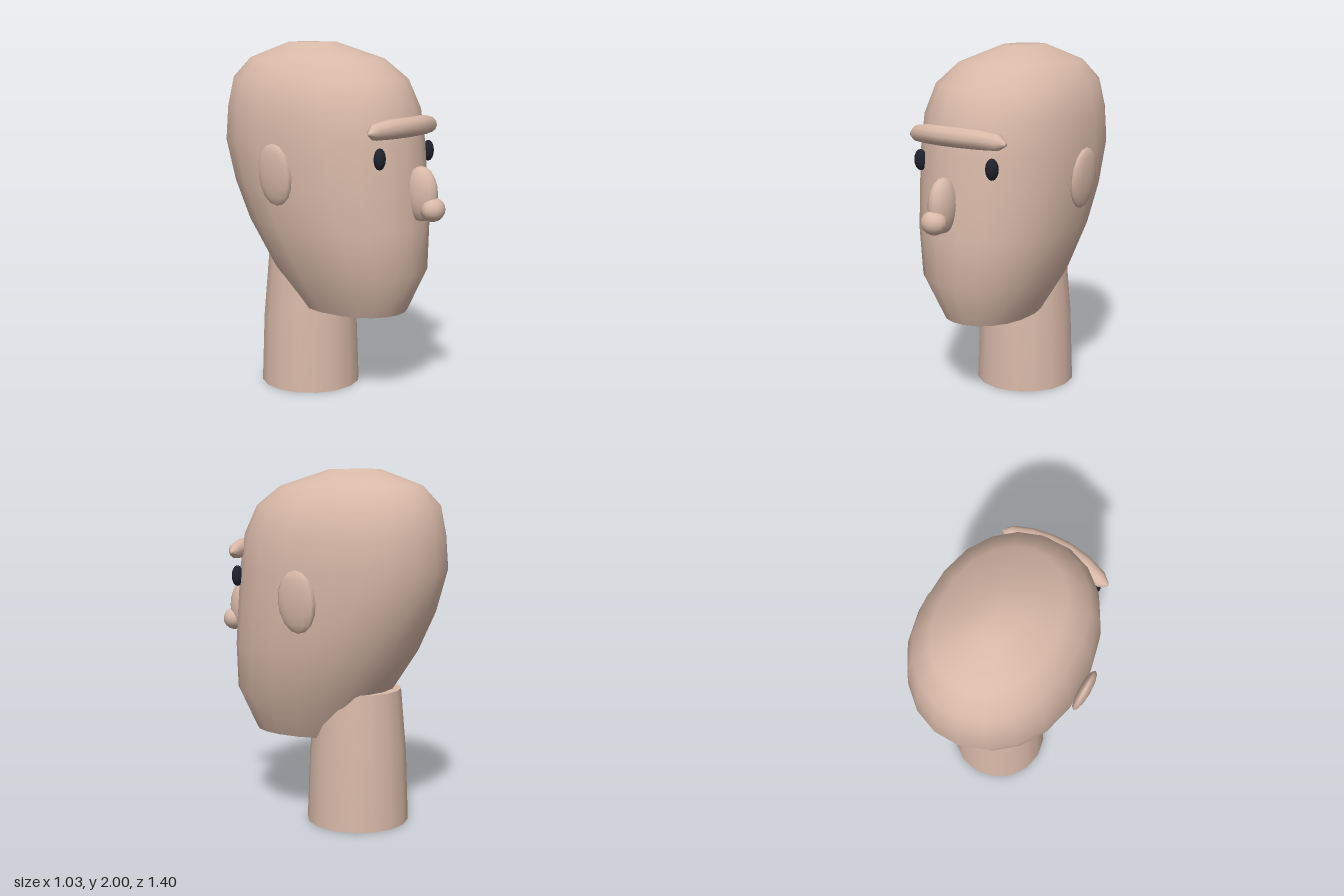
import * as THREE from 'three';

// Smooth closed skin through rings of points; the ends are fanned to a centre point.
// sharpStart gives the first cap its own vertices so its rim stays crisp.
function loft(rings, sharpStart) {
  const n = rings[0].length, pos = [], index = [];
  const add = (p) => pos.push(p.x, p.y, p.z) / 3 - 1;
  const centre = (r) => r.reduce((s, p) => s.add(p), new THREE.Vector3()).divideScalar(n);
  rings.forEach((r) => r.forEach(add));
  for (let i = 0; i < rings.length - 1; i++) {
    for (let j = 0; j < n; j++) {
      const a = i * n + j, b = i * n + (j + 1) % n;
      index.push(a, b, b + n, a, b + n, a + n);
    }
  }
  const last = rings.length - 1;
  let base = 0;
  if (sharpStart) {
    base = pos.length / 3;
    rings[0].forEach(add);
  }
  const start = add(centre(rings[0])), end = add(centre(rings[last]));
  for (let j = 0; j < n; j++) {
    const k = (j + 1) % n;
    index.push(start, base + k, base + j, end, last * n + j, last * n + k);
  }
  const g = new THREE.BufferGeometry();
  g.setAttribute('position', new THREE.Float32BufferAttribute(pos, 3));
  g.setIndex(index);
  g.computeVertexNormals();
  return g;
}

export function createModel() {
  const group = new THREE.Group();
  const skin = new THREE.MeshStandardMaterial({ color: 0xd8b9a8 });
  skin.name = 'skin';
  const dark = new THREE.MeshStandardMaterial({ color: 0x20222d });
  dark.name = 'eye dark';

  const part = (name, geometry, material = skin) => {
    const mesh = new THREE.Mesh(geometry, material);
    mesh.name = name;
    group.add(mesh);
    return mesh;
  };
  const ball = (name, [x, y, z], [rx, ry, rz], material, w = 14, h = 10) => {
    const mesh = part(name, new THREE.SphereGeometry(1, w, h).scale(rx, ry, rz), material);
    mesh.position.set(x, y, z);
    return mesh;
  };

  // Head: height, half width, front z, back z
  const sides = 20, half = Math.PI / sides, power = 0.87;
  const sections = [
    [0.5, 0.24, 0.44, -0.2], [0.74, 0.365, 0.545, -0.37], [1.0, 0.422, 0.545, -0.54],
    [1.22, 0.447, 0.525, -0.64], [1.45, 0.458, 0.505, -0.705], [1.64, 0.445, 0.475, -0.69],
    [1.8, 0.4, 0.4, -0.66], [1.91, 0.3, 0.26, -0.56], [2.0, 0.11, -0.03, -0.32],
  ];
  const headRings = sections.map(([y, w, front, back]) => {
    const rx = w / Math.cos(half), rz = (front - back) / 2 / Math.cos(half) ** power;
    return Array.from({ length: sides }, (_, j) => {
      const t = (2 * j + 1) * half, c = Math.cos(t);
      return new THREE.Vector3(rx * Math.sin(t), y,
        (front + back) / 2 + rz * Math.sign(c) * Math.abs(c) ** power);
    });
  });
  part('head', loft(headRings, true));

  // Neck: gently tapering column with flat ends
  const neckSide = [[0.292, 0], [0.277, 0.4], [0.245, 0.77]].map((p) => new THREE.Vector2(...p));
  part('neck', new THREE.LatheGeometry(neckSide, 16)).position.z = -0.2;
  const bottom = part('neckBottom', new THREE.CircleGeometry(0.292, 16).rotateX(Math.PI / 2));
  bottom.position.z = -0.2;
  const top = part('neckTop', new THREE.CircleGeometry(0.245, 16).rotateX(-Math.PI / 2));
  top.position.set(0, 0.77, -0.2);

  // Brow: one bar bent around the forehead: x, y, z, radius
  const browHalf = [[0.06, 1.555, 0.487, 0.055], [0.17, 1.553, 0.47, 0.054],
    [0.28, 1.544, 0.442, 0.044], [0.325, 1.537, 0.438, 0.01]];
  const brow = [...browHalf.map(([x, ...r]) => [-x, ...r]).reverse(), ...browHalf];
  part('brow', loft(brow.map(([x, y, z, r]) => Array.from({ length: 10 }, (_, j) => {
    const t = j / 10 * Math.PI * 2;
    return new THREE.Vector3(x, y - r * Math.sin(t), z + r * Math.cos(t));
  }))));

  // Nose: bridge and round tip
  ball('noseBridge', [0, 1.195, 0.56], [0.066, 0.152, 0.1]);
  ball('noseTip', [0, 1.115, 0.635], [0.075, 0.066, 0.066]);

  // Eyes and ears, mirrored
  for (const [side, s] of [['left', 1], ['right', -1]]) {
    ball(side + 'Eye', [s * 0.245, 1.4, 0.452], [0.038, 0.059, 0.032], dark, 10, 8);
    const ear = ball(side + 'Ear', [s * 0.477, 1.3, -0.073], [0.034, 0.172, 0.116], skin, 12, 8);
    ear.rotation.z = -s * 0.1;
  }
  return group;
}
